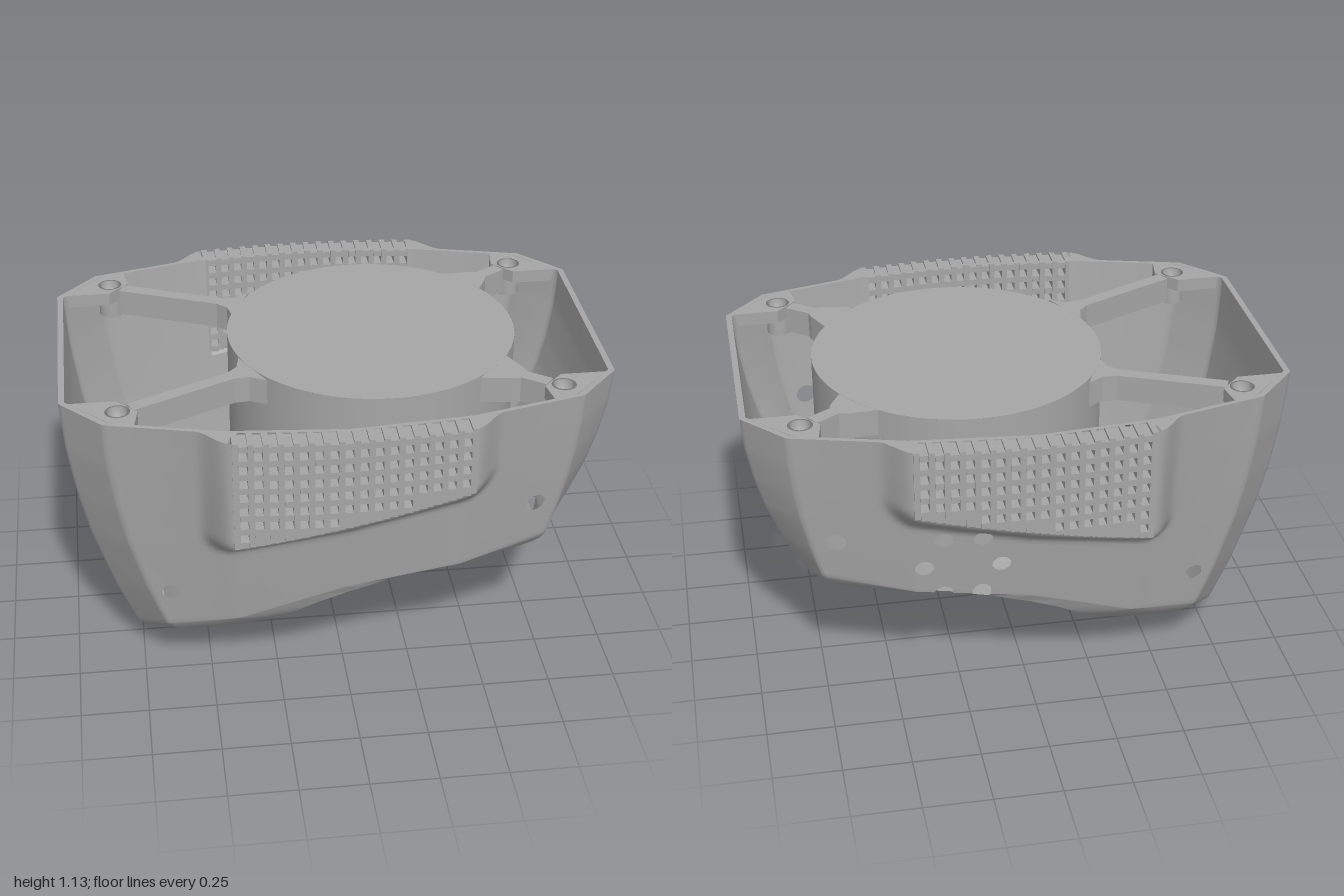
import * as THREE from 'three';
import { mergeGeometries } from 'three/addons/utils/BufferGeometryUtils.js';

const TOP = 1.13, N = 360;
const grey = new THREE.MeshStandardMaterial({ color: 0xa6a6a6, side: THREE.DoubleSide });
grey.name = 'plain grey';

// Linear lookup of one column in a short table keyed by its first column
function lookup(table, k, col = 1) {
  for (let i = 1; i < table.length; i++) {
    const a = table[i - 1], b = table[i];
    if (k <= b[0]) return a[col] + (b[col] - a[col]) * Math.max(0, (k - a[0]) / (b[0] - a[0]));
  }
  return table[table.length - 1][col];
}

// Half outline by angle: upper edge x, z, then lower crease x, y, z
const OUTLINE = [
  [0, 1, 0, 0.835, 0.45, 0],
  [28, 1, 0.415, 0.805, 0.46, 0.36],
  [42, 0.85, 0.58, 0.75, 0.53, 0.545],
  [65, 0.45, 0.685, 0.42, 0.47, 0.62],
  [90, 0, 0.725, 0, 0.415, 0.635],
  [115, -0.45, 0.685, -0.4, 0.265, 0.58],
  [138, -0.85, 0.58, -0.66, 0.23, 0.53],
  [152, -1, 0.415, -0.765, 0.125, 0.36],
  [166, -1, 0.208, -0.775, 0.07, 0.19],
  [180, -1, 0, -0.775, 0.05, 0]];
const RIM_Y = [[-0.66, 0], [-0.645, 0.008], [-0.61, 0.03], [-0.56, 0.06], [-0.45, 0.13], [-0.2, 0.27], [-0.1, 0.33],
  [0, 0.375], [0.15, 0.42], [0.3, 0.44], [0.5, 0.43], [0.7, 0.39], [0.82, 0.38]];
const SWELL = [[0, 0], [0.1, 0.18], [0.19, 0.33], [0.42, 0.64], [0.6, 0.81], [0.8, 0.94], [1, 1]];

// Rounded box distance in a plane; slope shears it
function distance(h, u, v) {
  const x = Math.abs(u - h.u) - h.w, y = Math.abs(v - (h.slope || 0) * u - h.v) - h.h;
  return Math.hypot(Math.max(x, 0), Math.max(y, 0)) + Math.min(Math.max(x, y), 0) - h.r;
}

const POD = { u: 0.005, v: 1.785, w: 0.405, h: 0.98, r: 0.02, slope: 0.2 };
const podFace = x => 0.79 - 0.03 * (x / 0.43) ** 2;

function rimPoint(deg) {
  const a = THREE.MathUtils.degToRad(deg);
  const x = 0.08 + 0.74 * Math.cos(a);
  return new THREE.Vector3(x, lookup(RIM_Y, x), 0.62 * Math.sin(a));
}

// Wall section: rounded bevel from rim to crease, then the swelling side
function wallPoint(deg, t, inset, bulge) {
  const a = deg > 180 ? 360 - deg : deg, s = deg > 180 ? -1 : 1, k = 1 - inset;
  const [tx, tz, kx, ky, kz] = [1, 2, 3, 4, 5].map(col => lookup(OUTLINE, a, col));
  const crease = new THREE.Vector3(kx * k, ky, kz * k);
  let p;
  if (t < 0.25) {
    const v = t * 4, q = v * Math.PI / 2, rim = rimPoint(a);
    const out = (v + Math.sin(q)) / 2, up = (v + 1 - Math.cos(q)) / 2;
    p = rim.clone().lerp(crease, out);
    p.y = rim.y + (ky - rim.y) * up;
  } else {
    const v = (t - 0.25) / 0.75;
    p = crease.clone().lerp(new THREE.Vector3(tx * k, TOP, tz * k), v);
    p.x = crease.x + (tx * k - crease.x) * lookup(SWELL, v);
  }
  if (bulge && p.z > 0.4) {
    const m = 1 - THREE.MathUtils.smoothstep(distance(POD, p.x, p.y), 0, 0.115);
    p.z += (podFace(p.x) - p.z) * m;
  }
  p.z *= s;
  return p;
}

// Keeps the part of a small polygon that lies outside an opening
function clip(poly, h) {
  const [a, b] = h.axes, out = [];
  const ds = poly.map(q => distance(h, q.p[a], q.p[b]));
  poly.forEach((q, i) => {
    const k = (i + 1) % poly.length, r = poly[k];
    if (ds[i] >= 0) out.push(q);
    if ((ds[i] >= 0) !== (ds[k] >= 0)) {
      const t = ds[i] / (ds[i] - ds[k]);
      out.push({ p: q.p.clone().lerp(r.p, t), n: q.n.clone().lerp(r.n, t) });
    }
  });
  return out;
}

// Closed loft around the model, with openings cut out of it
function loft(rows, point, holes, flip) {
  const pos = [], index = [];
  for (let j = 0; j <= rows; j++)
    for (let i = 0; i < N; i++) pos.push(point(i * 360 / N, j / rows));
  const tri = (a, b, c) => index.push(a, ...(flip ? [c, b] : [b, c]));
  for (let j = 0; j < rows; j++) for (let i = 0; i < N; i++) {
    const k = (i + 1) % N, a = j * N + i, b = j * N + k, c = a + N, d = b + N;
    tri(a, c, b);
    tri(b, c, d);
  }
  const geo = new THREE.BufferGeometry().setFromPoints(pos);
  geo.setIndex(index);
  geo.computeVertexNormals();
  if (!holes.length) return geo;

  const normal = geo.attributes.normal, points = [], normals = [];
  for (let i = 0; i < index.length; i += 3) {
    let poly = index.slice(i, i + 3).map(v => ({ p: pos[v], n: new THREE.Vector3().fromBufferAttribute(normal, v) }));
    for (const h of holes) if (poly.length && h.on(poly[0].p)) poly = clip(poly, h);
    for (let k = 2; k < poly.length; k++) for (const q of [poly[0], poly[k - 1], poly[k]]) {
      points.push(q.p);
      normals.push(...q.n.normalize().toArray());
    }
  }
  const cut = new THREE.BufferGeometry().setFromPoints(points);
  cut.setAttribute('normal', new THREE.Float32BufferAttribute(normals, 3));
  return cut;
}

// Flat plan extruded downward from a given height
function plan(points, top, depth, hole) {
  const shape = new THREE.Shape(points.map(p => new THREE.Vector2(p[0], p[1])));
  if (hole) shape.holes.push(new THREE.Path().absarc(hole[0], hole[1], hole[2], 0, Math.PI * 2));
  return new THREE.ExtrudeGeometry(shape, { depth, bevelEnabled: false, curveSegments: 20 })
    .rotateX(Math.PI / 2).translate(0, top, 0);
}

// Curved grille of upright bars and short cross pieces, open along the top
function grille(side) {
  const low = x => 0.795 + 0.2 * x, pitch = 0.052, parts = [];
  const bar = (x, width, y0, y1) => parts.push(new THREE.BoxGeometry(width, y1 - y0, 0.085)
    .translate(x, (y0 + y1) / 2, side * (podFace(x) - 0.0405)));
  for (let i = 0; i <= 16; i++) {
    const x = -0.406 + pitch * i, mid = x + pitch / 2;
    bar(x, 0.022, low(x) - 0.015, TOP);
    if (i === 16) break;
    let y = 1.08;
    for (; y - 0.018 > low(mid); y -= 0.056) bar(mid, 0.031, y + 0.016, y + 0.04);
    bar(mid, 0.031, low(mid) - 0.015, y + 0.04);
  }
  return mergeGeometries(parts);
}

export function createModel() {
  const model = new THREE.Group();
  const add = (name, geo) => {
    const mesh = new THREE.Mesh(geo, grey);
    mesh.name = name;
    model.add(mesh);
  };

  // Openings in the walls
  const round = (u, v, r, axes, on) => ({ u, v, w: 0, h: 0, r, axes, on });
  const openings = [
    { ...POD, w: 0.392, h: 0.97, axes: ['x', 'y'], on: p => Math.abs(p.z) > 0.45 },
    round(0.7, 0.68, 0.04, ['x', 'y'], p => Math.abs(p.z) > 0.35),
    round(-0.64, 0.38, 0.038, ['x', 'y'], p => Math.abs(p.z) > 0.35),
    round(0, 0.53, 0.085, ['z', 'y'], p => p.x < -0.75),
    { u: -0.012, v: 0.34, w: 0.085, h: 0.1, r: 0.1, axes: ['z', 'y'], on: p => p.x > 0.6 }
  ];
  for (let i = 0; i < 6; i++) {
    const a = i * Math.PI / 3;
    openings.push(round(0.25 + 0.14 * Math.cos(a), 0.57 + 0.14 * Math.sin(a), 0.036, ['x', 'y'], p => p.z < -0.45));
  }

  // Outer and inner walls, joined by the upper rim
  add('outerWall', loft(56, (d, t) => wallPoint(d, t, 0, true), openings));
  add('innerWall', loft(36, (d, t) => wallPoint(d, t, 0.022, false), openings, true));
  add('upperRim', loft(1, (d, t) => {
    const outer = wallPoint(d, 1, 0, true);
    if (t) return wallPoint(d, 1, 0.022, false);
    return Math.abs(outer.x) < 0.415 ? wallPoint(d, 1, 0, false) : outer;
  }, []));

  // Concave socket underneath, rising to the round cup
  const slots = [
    { u: -0.45, v: -0.012, w: 0.05, h: 0.125, r: 0.06, axes: ['x', 'z'], on: p => p.x < 0 },
    { u: 0.8, v: -0.012, w: 0.03, h: 0.12, r: 0.065, axes: ['x', 'z'], on: p => p.x > 0.5 }
  ];
  const cupEdge = d => {
    const a = THREE.MathUtils.degToRad(d);
    return new THREE.Vector3(0.17 + 0.54 * Math.cos(a), 0.585 + 0.035 * Math.cos(a), -0.02 + 0.54 * Math.sin(a));
  };
  add('socket', loft(20, (d, t) => {
    const p = rimPoint(d).lerp(cupEdge(d), t);
    p.y += 0.015 * Math.sin(Math.PI * t);
    return p;
  }, slots, true));
  add('cupWall', loft(4, (d, t) => {
    const p = cupEdge(d);
    p.y += (TOP - p.y) * t;
    return p;
  }, []));
  add('cupTop', new THREE.CircleGeometry(0.54, 96).rotateX(-Math.PI / 2).translate(0.17, TOP, -0.02));

  // Side grilles
  add('frontGrille', grille(1));
  add('backGrille', grille(-1));

  // Corner decks with screw bosses, and flared spokes to the cup
  const deck = [[0.965, 0.42], [0.83, 0.565], [0.74, 0.598], [0.725, 0.5], [0.8, 0.42]];
  const boss = [[0.045, -0.12], [0.045, 0], [0.036, 0], [0.036, -0.06], [0, -0.06]].map(p => new THREE.Vector2(p[0], p[1]));
  for (const sx of [-1, 1]) for (const sz of [-1, 1]) {
    const bx = 0.795 * sx, bz = 0.495 * sz;
    add('cornerDeck', plan(deck.map(p => [p[0] * sx, p[1] * sz]), TOP, 0.05, [bx, bz, 0.045]));
    add('screwBoss', new THREE.LatheGeometry(boss, 24).translate(bx, TOP, bz));
    const start = new THREE.Vector2(0.75 * sx, 0.465 * sz);
    const end = sx < 0 ? new THREE.Vector2(-0.3, 0.26 * sz - 0.015) : new THREE.Vector2(0.57, 0.34 * sz - 0.01);
    const along = end.clone().sub(start), across = new THREE.Vector2(-along.y, along.x).normalize();
    const flare = sx < 0 ? 0.82 : 0.45;
    const side = s => [[0, 0.026], [flare, 0.026], [flare + 0.1, 0.045], [1, 0.1]].map(([t, w]) =>
      start.clone().addScaledVector(along, t).addScaledVector(across, w * s).toArray());
    add('spoke', plan([...side(1), ...side(-1).reverse()], TOP - 0.001, 0.1));
  }
  return model;
}
